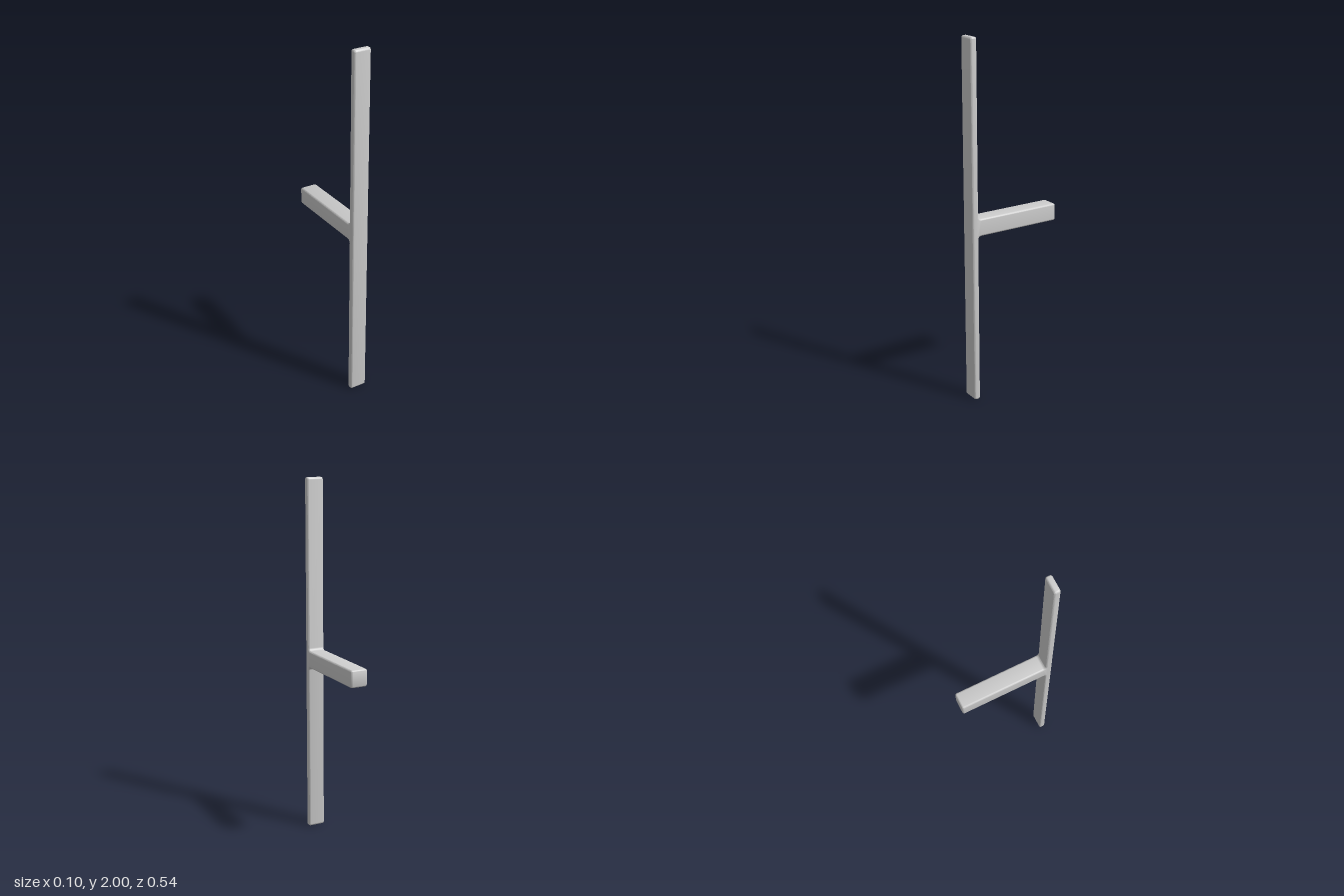
import * as THREE from 'three';
import { toCreasedNormals } from 'three/addons/utils/BufferGeometryUtils.js';

// Closed outline of right-angled corners [x, y, radius], each rounded by an arc-like curve
function roundedOutline(corners) {
  const shape = new THREE.Shape();
  const points = corners.map(([x, y]) => new THREE.Vector2(x, y));
  const count = points.length;
  const toward = (p, q, d) => p.clone().add(q.clone().sub(p).setLength(d));
  points.forEach((p, i) => {
    const prev = points[(i + count - 1) % count];
    const next = points[(i + 1) % count];
    const r = corners[i][2];
    const start = toward(p, prev, r), end = toward(p, next, r);
    const c1 = toward(p, prev, r * 0.448), c2 = toward(p, next, r * 0.448);
    if (i === 0) shape.moveTo(start.x, start.y);
    else shape.lineTo(start.x, start.y);
    shape.bezierCurveTo(c1.x, c1.y, c2.x, c2.y, end.x, end.y);
  });
  shape.closePath();
  return shape;
}

export function createModel() {
  const group = new THREE.Group();
  group.name = 'pullHandle';

  const width = 0.096, bevel = 0.01;
  const front = -0.268, back = -0.232, postEnd = 0.268;
  const low = 0.952, high = 1.048;
  const round = 0.0125, fillet = 0.016;

  // Side profile: tall thin bar with a stem behind its middle, filleted at the joint
  const profile = roundedOutline([
    [front, 0, round],
    [back, 0, round],
    [back, low, fillet],
    [postEnd, low, round],
    [postEnd, high, round],
    [back, high, fillet],
    [back, 2, round],
    [front, 2, round],
  ]);

  // Extruded across the width with softened side edges
  const depth = width - 2 * bevel;
  const geometry = new THREE.ExtrudeGeometry(profile, {
    depth,
    curveSegments: 5,
    bevelEnabled: true,
    bevelThickness: bevel,
    bevelSize: bevel,
    bevelOffset: -bevel,
    bevelSegments: 4,
  });
  geometry.translate(0, 0, -depth / 2);
  geometry.rotateY(Math.PI / 2);

  const handle = new THREE.Mesh(
    toCreasedNormals(geometry, 0.6),
    new THREE.MeshStandardMaterial({ color: 0xcccccc })
  );
  handle.name = 'barWithStem';
  group.add(handle);
  return group;
}
